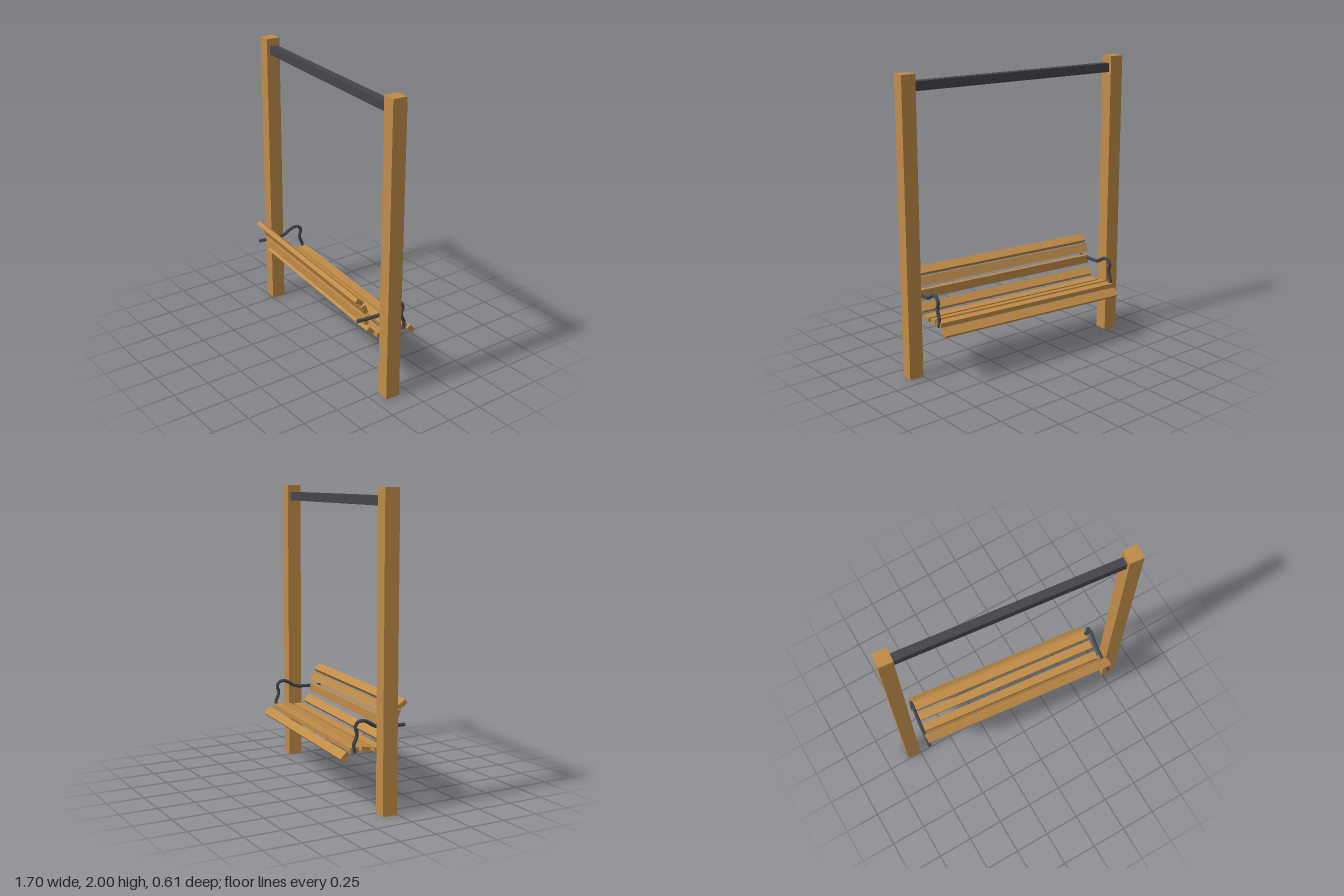
import * as THREE from 'three';

const wood = new THREE.MeshStandardMaterial({ color: 0xc08c48, flatShading: true });
const metal = new THREE.MeshStandardMaterial({ color: 0x45444a, flatShading: true });

function box(name, w, h, d, x, y, z, material) {
  const mesh = new THREE.Mesh(new THREE.BoxGeometry(w, h, d), material);
  mesh.name = name;
  mesh.position.set(x, y, z);
  return mesh;
}

export function createModel() {
  const swing = new THREE.Group();
  swing.name = 'benchSwing';

  // Frame: two square posts joined by a top bar
  for (const side of [-1, 1]) {
    swing.add(box(side < 0 ? 'rightPost' : 'leftPost', 0.097, 2, 0.097, side * 0.8, 1, 0, wood));
  }
  swing.add(box('topBar', 1.51, 0.06, 0.055, 0, 1.92, 0, metal));

  // Slats follow a curved seat: height, depth, tilt in degrees
  const slats = [
    ['backSlat', 0.658, 0.161, -38],
    ['backSlat', 0.597, 0.122, -68],
    ['backSlat', 0.517, 0.11, -90],
    ['backSlat', 0.43, 0.076, -45],
    ['seatSlat', 0.385, -0.002, -3],
    ['seatSlat', 0.394, -0.091, 10],
    ['seatSlat', 0.398, -0.169, 0],
    ['seatSlat', 0.36, -0.234, -47],
  ];
  const bench = new THREE.Group();
  bench.name = 'bench';
  for (const [name, y, z, tilt] of slats) {
    const slat = box(name, 1.388, 0.03, 0.059, 0, y, z, wood);
    slat.rotation.x = THREE.MathUtils.degToRad(tilt);
    bench.add(slat);
  }

  // Bent-tube armrests at both ends: depth, height
  const path = [
    [0.177, 0.527], [0.07, 0.527], [0, 0.53], [-0.04, 0.541], [-0.077, 0.565],
    [-0.115, 0.578], [-0.147, 0.571], [-0.165, 0.54], [-0.152, 0.502],
    [-0.16, 0.465], [-0.175, 0.43], [-0.168, 0.38],
  ];
  for (const side of [-1, 1]) {
    const points = path.map(([z, y]) => new THREE.Vector3(side * 0.692, y, z));
    const curve = new THREE.CatmullRomCurve3(points);
    const arm = new THREE.Group();
    arm.name = side < 0 ? 'rightArmrest' : 'leftArmrest';
    const tube = new THREE.Mesh(new THREE.TubeGeometry(curve, 28, 0.012, 8), metal);
    tube.name = 'armrestTube';
    arm.add(tube);
    // Closed tube ends
    for (const t of [0, 1]) {
      const cap = new THREE.Mesh(new THREE.CircleGeometry(0.012, 8), metal);
      cap.name = 'armrestCap';
      const out = curve.getTangent(t).multiplyScalar(t ? 1 : -1);
      cap.position.copy(curve.getPoint(t));
      cap.quaternion.setFromUnitVectors(new THREE.Vector3(0, 0, 1), out);
      arm.add(cap);
    }
    bench.add(arm);
  }
  swing.add(bench);

  // Whole swing stands slightly turned
  swing.rotation.y = -0.1085;
  swing.position.z = 0.033;

  const model = new THREE.Group();
  model.name = 'swingModel';
  model.add(swing);
  return model;
}
